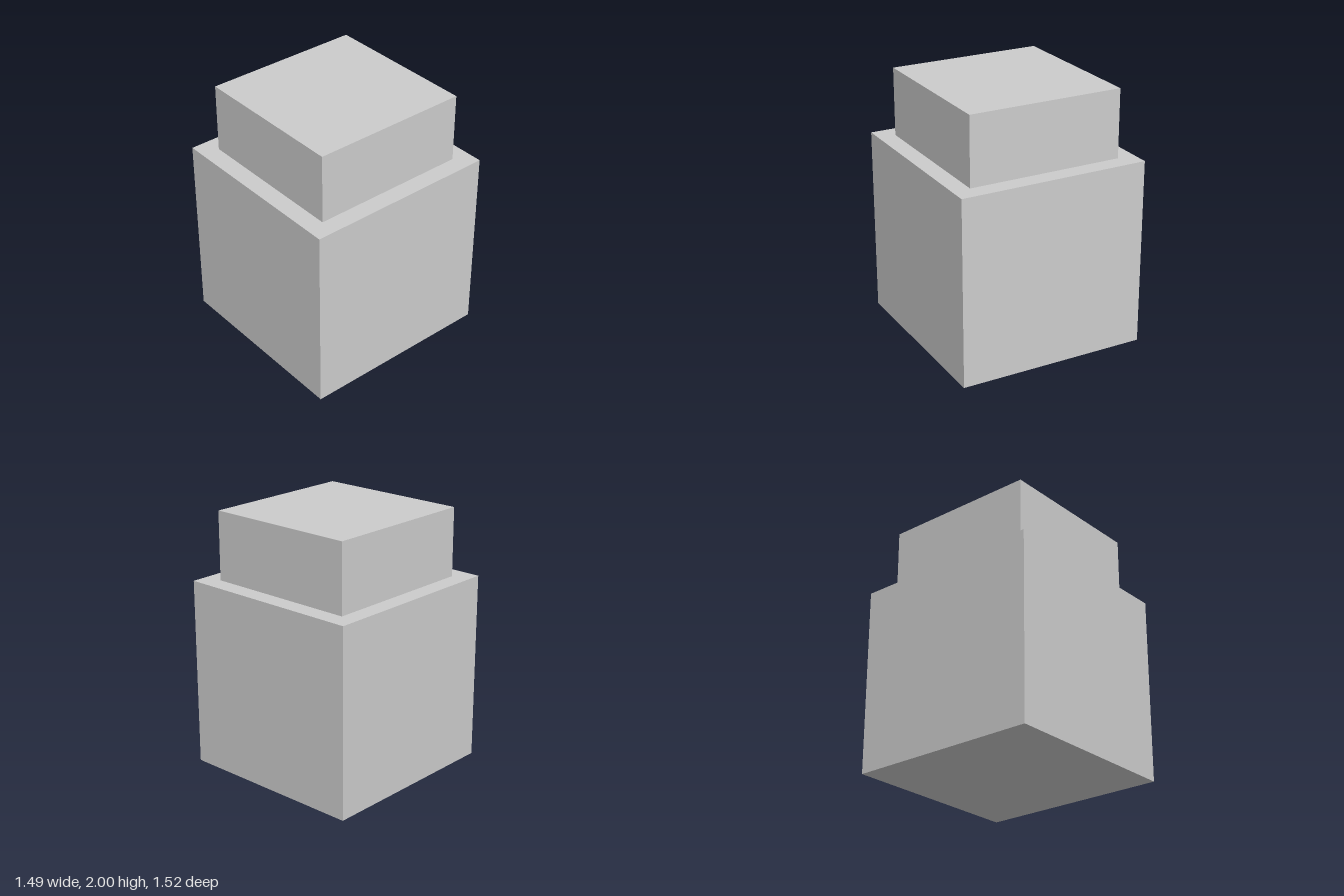
import * as THREE from 'three';

const material = new THREE.MeshStandardMaterial({ color: 0xcccccc, flatShading: true });

// Box standing on height y
function block(name, width, height, depth, y) {
  const mesh = new THREE.Mesh(new THREE.BoxGeometry(width, height, depth), material);
  mesh.name = name;
  mesh.position.y = y + height / 2;
  return mesh;
}

export function createModel() {
  const group = new THREE.Group();
  group.name = 'steppedBlock';
  const step = 1.466;

  // Large lower body
  group.add(block('body', 1.49, step, 1.52, 0));
  // Smaller block on top
  group.add(block('cap', 1.212, 2 - step, 1.236, step));

  return group;
}
